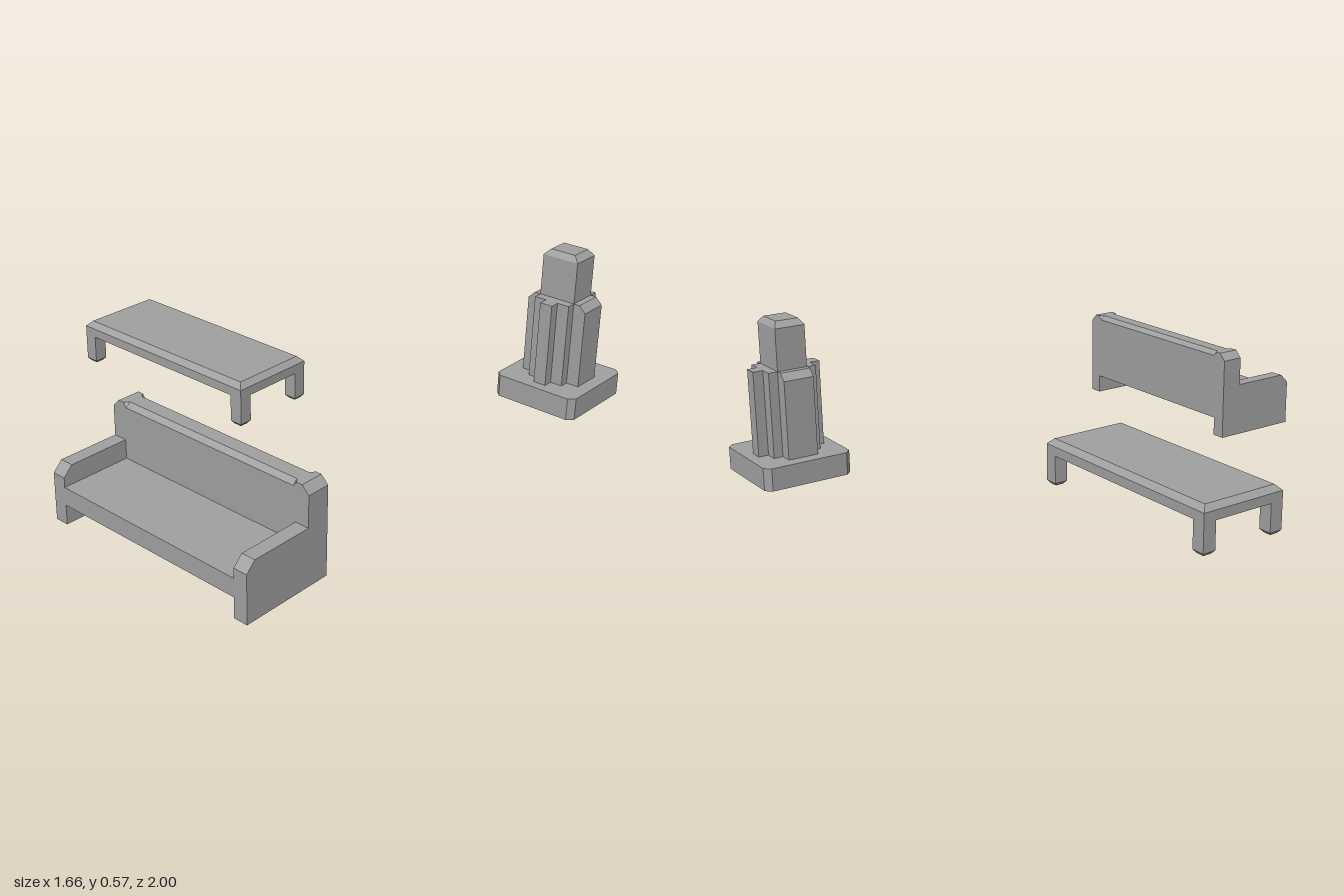
import * as THREE from 'three';

const grey = new THREE.MeshStandardMaterial({ color: 0xa0a0a0 });
grey.name = 'plain grey';

function add(parent, name, geometry, x = 0, y = 0, z = 0) {
  const mesh = new THREE.Mesh(geometry, grey);
  mesh.name = name;
  mesh.position.set(x, y, z);
  parent.add(mesh);
}

// Joins convex loops of [x, y, z] points, capped at both ends, with flat faces
function loft(loops) {
  const n = loops[0].length;
  const index = [];
  for (let s = 0; s < loops.length - 1; s++) {
    for (let i = 0; i < n; i++) {
      const a = s * n + i, b = s * n + (i + 1) % n;
      index.push(a, b, b + n, a, b + n, a + n);
    }
  }
  const last = (loops.length - 1) * n;
  for (let i = 1; i < n - 1; i++) {
    index.push(0, i + 1, i, last, last + i, last + i + 1);
  }
  const geometry = new THREE.BufferGeometry();
  geometry.setAttribute('position', new THREE.Float32BufferAttribute(loops.flat(2), 3));
  geometry.setIndex(index);
  const flat = geometry.toNonIndexed();
  flat.computeVertexNormals();
  return flat;
}

// Block made of stacked rectangles [y, half width, half depth]
const tiers = (rings) => loft(rings.map(([y, w, d]) =>
  [[w, y, d], [w, y, -d], [-w, y, -d], [-w, y, d]]));

function extrude(points, depth) {
  const shape = new THREE.Shape(points.map(([x, y]) => new THREE.Vector2(x, y)));
  return new THREE.ExtrudeGeometry(shape, { depth, bevelEnabled: false });
}

function createTable() {
  const table = new THREE.Group();
  table.name = 'lowTable';
  const w = 0.415, d = 0.167;
  add(table, 'tableTop', tiers([[0.113, w, d], [0.147, w, d], [0.167, w - 0.02, d - 0.02]]));
  // Legs with bevelled feet
  const leg = tiers([[0, 0.015, 0.015], [0.012, 0.025, 0.025], [0.113, 0.025, 0.025]]);
  for (const sx of [-1, 1]) {
    for (const sz of [-1, 1]) add(table, 'tableLeg', leg, sx * (w - 0.025), 0, sz * (d - 0.025));
  }
  table.position.x = -w;
  return table;
}

function createSofa() {
  const sofa = new THREE.Group();
  sofa.name = 'sofa';
  const w = 0.415, back = 0.662, rest = 0.745, arm = 0.05, top = 0.333;
  add(sofa, 'seat', new THREE.BoxGeometry(2 * (w - arm), 0.063, 1 - back), 0, 0.1015, (1 + back) / 2);

  // Backrest whose long upper edges are bevelled between the end posts
  const section = (x, c) => [
    [x, 0.133, back], [x, top - c, back], [x, top, back + c],
    [x, top, rest - c], [x, top - c, rest], [x, 0.133, rest],
  ];
  const e = w - arm + 0.005;
  add(sofa, 'backrest', loft([
    section(-e, 0), section(-e + 0.015, 0.016), section(e - 0.015, 0.016), section(e, 0),
  ]));

  // Side panels with sloped front corner, and posts with bevelled outer corner
  const armGeometry = extrude([[back, 0], [1, 0], [1, 0.167], [0.967, 0.2], [back, 0.2]], arm);
  armGeometry.rotateY(-Math.PI / 2);
  for (const s of [-1, 1]) {
    add(sofa, 'armrest', armGeometry, s * (w - arm / 2) + arm / 2, 0, 0);
    const post = extrude([
      [s * (w - arm), 0.2], [s * w, 0.2], [s * w, top - 0.026],
      [s * (w - 0.026), top], [s * (w - arm), top],
    ], rest - back);
    add(sofa, 'backPost', post, 0, 0, back);
  }
  sofa.position.x = w;
  return sofa;
}

function createTower() {
  const tower = new THREE.Group();
  tower.name = 'towerOrnament';
  // Square plinth with cut corners
  const h = 0.166, c = h - 0.022;
  const plinth = extrude([[h, c], [c, h], [-c, h], [-h, c], [-h, -c], [-c, -h], [c, -h], [h, -c]], 0.083);
  add(tower, 'plinth', plinth.rotateX(-Math.PI / 2));

  // Stepped body with a narrow rib at front and back
  const body = extrude([
    [0.07, 0.09], [0.024, 0.09], [0.024, 0.127], [-0.024, 0.127], [-0.024, 0.09], [-0.07, 0.09],
    [-0.07, -0.09], [-0.024, -0.09], [-0.024, -0.127], [0.024, -0.127], [0.024, -0.09], [0.07, -0.09],
  ], 0.312);
  add(tower, 'body', body.rotateX(-Math.PI / 2), 0, 0.083, 0);

  // Side wings with bevelled shoulders
  for (const s of [-1, 1]) {
    const wing = extrude([
      [s * 0.07, 0.083], [s * 0.118, 0.083], [s * 0.118, 0.37], [s * 0.093, 0.395], [s * 0.07, 0.395],
    ], 0.112);
    add(tower, 'wing', wing, 0, 0, -0.056);
  }
  add(tower, 'upperBlock', tiers([
    [0.395, 0.07, 0.056], [0.548, 0.07, 0.056], [0.57, 0.049, 0.042],
  ]));
  tower.position.set(0.664, 0, -0.834);
  return tower;
}

export function createModel() {
  const model = new THREE.Group();
  model.name = 'furnitureSet';
  model.add(createTable(), createSofa(), createTower());
  return model;
}
